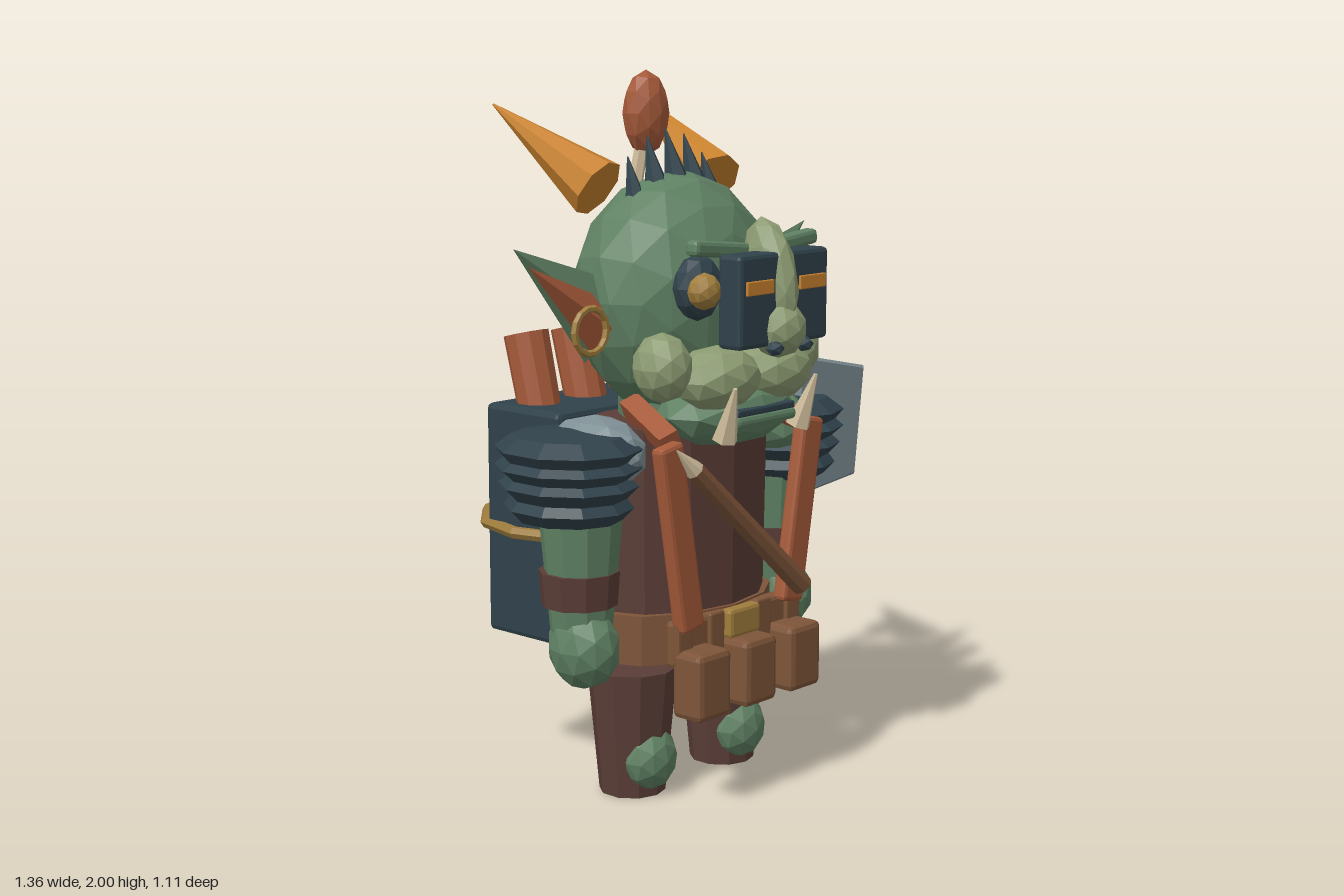
import * as THREE from 'three';
import { RoundedBoxGeometry } from 'three/addons/geometries/RoundedBoxGeometry.js';

const mat = (name, color) => {
  const m = new THREE.MeshStandardMaterial({ color, flatShading: true });
  m.name = name;
  return m;
};

export function createModel() {
  const M = {
    skin: mat('green skin', 0x5f8163),
    pale: mat('pale green skin', 0x8c9b72),
    dark: mat('dark blue leather', 0x30424b),
    brown: mat('dark brown leather', 0x5a3d37),
    leather: mat('tan leather', 0x7e5539),
    rust: mat('rust red', 0xa55a3a),
    orange: mat('orange horn', 0xc9822f),
    gold: mat('old gold', 0xa07d3c),
    steel: mat('steel', 0x7e8f95),
    bone: mat('bone', 0xcfbd9c),
  };
  const model = new THREE.Group();
  const body = new THREE.Group();
  body.name = 'goblin';
  body.position.x = -0.065;
  model.add(body);

  const add = (name, geo, m, x = 0, y = 0, z = 0) => {
    const mesh = new THREE.Mesh(geo, m);
    mesh.name = name;
    mesh.position.set(x, y, z);
    body.add(mesh);
    return mesh;
  };
  // faceted ellipsoid
  const blob = (name, m, p, r, detail = 1) => {
    const mesh = add(name, new THREE.IcosahedronGeometry(1, detail), m, ...p);
    mesh.scale.set(...r);
    return mesh;
  };
  const box = (name, m, p, s, bevel = 0.012) =>
    add(name, new RoundedBoxGeometry(...s, 1, bevel), m, ...p);
  // tapered rod from a to b
  const rod = (name, m, a, b, ra, rb, sides = 8) => {
    const A = new THREE.Vector3(...a), B = new THREE.Vector3(...b), d = B.clone().sub(A);
    const mesh = add(name, new THREE.CylinderGeometry(rb, ra, d.length(), sides), m);
    mesh.position.copy(A).add(B).multiplyScalar(0.5);
    mesh.quaternion.setFromUnitVectors(new THREE.Vector3(0, 1, 0), d.normalize());
    return mesh;
  };
  const ring = (name, m, p, r, tube, segs) => add(name, new THREE.TorusGeometry(r, tube, 6, segs), m, ...p);

  // torso and belt
  add('torso', new THREE.CylinderGeometry(0.3, 0.29, 0.56, 12), M.brown, 0, 0.77, 0.12).scale.z = 0.68;
  add('hips', new THREE.CylinderGeometry(0.29, 0.2, 0.14, 12), M.brown, 0, 0.44, 0.12).scale.z = 0.66;
  rod('neck', M.skin, [0, 1, 0.1], [0, 1.2, 0.1], 0.16, 0.16, 10);
  add('belt', new THREE.CylinderGeometry(0.317, 0.317, 0.14, 12), M.leather, 0, 0.465, 0.125).scale.z = 0.64;
  box('beltFront', M.leather, [0, 0.465, 0.315], [0.5, 0.13, 0.05]);
  box('buckle', M.gold, [0, 0.495, 0.35], [0.13, 0.085, 0.04]);
  for (const x of [-0.195, 0, 0.195])
    box('pouch', M.leather, [x, 0.362, 0.378], [0.135, 0.19, 0.105], 0.018);
  for (const x of [-0.23, -0.1, 0.1, 0.23])
    box('beltLoop', M.leather, [x, 0.475, 0.34], [0.06, 0.125, 0.025], 0.006);

  // layered shoulder pad outline, from bottom to top
  const pad = [[0, 0.82], [0.15, 0.82], [0.185, 0.855], [0.165, 0.88], [0.2, 0.915], [0.175, 0.935],
    [0.21, 0.965], [0.185, 0.985], [0.21, 1.015], [0.16, 1.05], [0, 1.065]].map(([x, y]) => new THREE.Vector2(x, y));

  for (const s of [-1, 1]) {
    // legs, feet and arms
    rod('leg', M.brown, [s * 0.193, 0, 0.115], [s * 0.193, 0.36, 0.115], 0.094, 0.128, 10);
    blob('foot', M.skin, [s * 0.193, 0.105, 0.18], [0.088, 0.095, 0.072]);
    rod('arm', M.skin, [s * 0.405, 0.5, 0.125], [s * 0.405, 0.9, 0.125], 0.085, 0.122, 10);
    blob('hand', M.skin, [s * 0.415, 0.465, 0.145], [0.092, 0.118, 0.108]);
    rod('cuff', M.brown, [s * 0.407, 0.58, 0.12], [s * 0.407, 0.675, 0.12], 0.105, 0.112, 10);
    const p = add('shoulderPad', new THREE.LatheGeometry(pad, 10), M.dark, s * 0.435, 0, 0.11);
    p.scale.x = 0.9;
    blob('shoulder', s < 0 ? M.steel : M.skin, [s * 0.35, 0.99, 0.13], [0.115, 0.105, 0.16]);

    // harness straps
    box('strap', M.rust, [s * 0.256, 0.77, 0.345], [0.09, 0.53, 0.045]).rotation.z = -s * 0.17;
    rod('strapTop', M.rust, [s * 0.27, 1.03, 0.33], [s * 0.2, 1.1, 0.12], 0.04, 0.04, 4);

    // horns and ears
    rod('horn', M.orange, [s * 0.237, 1.69, 0.035], [s * 0.31, 1.91, -0.296], 0.088, 0.003, 8);
    for (const inner of [0, 1]) {
      const g = new THREE.ConeGeometry(inner ? 0.078 : 0.125, inner ? 0.33 : 0.4, 4);
      g.scale(1, 1, inner ? 0.5 : 0.45);
      g.rotateZ(-s * 0.98);
      add(inner ? 'innerEar' : 'ear', g, inner ? M.rust : M.skin,
        s * 0.435, inner ? 1.415 : 1.443, inner ? 0.106 : 0.08);
    }
    ring('earring', M.gold, [s * 0.385, 1.325, 0.147], 0.061, 0.01, 14);

    // face
    blob('cheek', M.pale, [s * 0.27, 1.23, 0.3], [0.08, 0.095, 0.085]);
    blob('upperLip', M.pale, [s * 0.11, 1.19, 0.355], [0.14, 0.09, 0.105]);
    rod('tusk', M.bone, [s * 0.155, 1.035, 0.42], [s * 0.17, 1.18, 0.47], 0.036, 0.006, 6);
    blob('eyeSocket', M.dark, [s * 0.18, 1.44, 0.345], [0.078, 0.09, 0.058]);
    blob('eye', M.gold, [s * 0.205, 1.435, 0.39], [0.05, 0.05, 0.045]);
    box('brow', M.skin, [s * 0.135, 1.54, 0.385], [0.24, 0.042, 0.045]).rotation.z = s * 0.1;
    box('goggleSlit', M.orange, [s * 0.11, 1.445, 0.502], [0.11, 0.038, 0.009], 0.003);
    blob('nostril', M.dark, [s * 0.062, 1.28, 0.515], [0.028, 0.022, 0.025], 0);
  }
  ring('outerEarring', M.gold, [0.482, 1.322, 0.125], 0.06, 0.01, 14);

  // head
  blob('head', M.skin, [0, 1.39, 0.1], [0.322, 0.342, 0.248], 2);
  blob('jaw', M.skin, [0, 1.085, 0.29], [0.235, 0.1, 0.15]);
  box('mouth', M.dark, [0, 1.1, 0.425], [0.24, 0.02, 0.03], 0.005);
  box('lowerLip', M.skin, [0, 1.075, 0.42], [0.25, 0.032, 0.045]);
  box('goggles', M.dark, [0, 1.408, 0.458], [0.37, 0.25, 0.08]);
  blob('noseBridge', M.pale, [0, 1.46, 0.445], [0.056, 0.165, 0.085]).rotation.x = -0.2;
  blob('nose', M.pale, [0, 1.325, 0.475], [0.082, 0.08, 0.075]);

  // crest of spikes
  for (let i = -2; i <= 2; i++) {
    const drop = 0.018 * i * i;
    rod('crestSpike', M.dark, [i * 0.08, 1.66 - drop, 0.12], [i * 0.076, 1.845 - drop, 0.065], 0.046, 0.002, 6);
  }

  // meat on a bone stuck in the back of the head
  rod('boneStick', M.bone, [0.015, 1.42, -0.125], [0.09, 1.82, -0.1], 0.026, 0.02, 6);
  blob('meat', M.rust, [0.1, 1.88, -0.1], [0.076, 0.122, 0.06]);

  // spear across the chest
  rod('spearShaft', M.leather, [0.205, 0.565, 0.4], [-0.22, 0.955, 0.37], 0.032, 0.028, 8);
  rod('spearTip', M.bone, [-0.22, 0.955, 0.37], [-0.29, 1.02, 0.365], 0.028, 0.002, 8);

  // cleaver held in the left hand
  const blade = new THREE.Shape([[0.455, 1.165], [0.74, 1.105], [0.702, 0.79], [0.4, 0.76]]
    .map(([x, y]) => new THREE.Vector2(x, y)));
  add('cleaverBlade', new THREE.ExtrudeGeometry(blade,
    { depth: 0.05, bevelSize: 0.009, bevelThickness: 0.009, bevelSegments: 1 }), M.steel, 0, 0, 0.145);
  rod('cleaverHandle', M.leather, [0.385, 0.295, 0.172], [0.465, 0.8, 0.172], 0.036, 0.032, 8);

  // backpack with slats, scrolls and rope
  box('backpack', M.dark, [0, 0.73, -0.213], [0.59, 0.67, 0.295], 0.016);
  for (const x of [-0.19, 0, 0.19]) {
    box('slat', M.orange, [x, 0.74, -0.37], [0.09, 0.44, 0.03], 0.008);
    rod('scroll', M.rust, [x, 1.0, -0.235], [x, 1.26, -0.3], 0.062, 0.066, 10);
  }
  ring('rope', M.gold, [0, 0.71, -0.22], 0.322, 0.018, 12).rotation.x = Math.PI / 2;

  return model;
}
